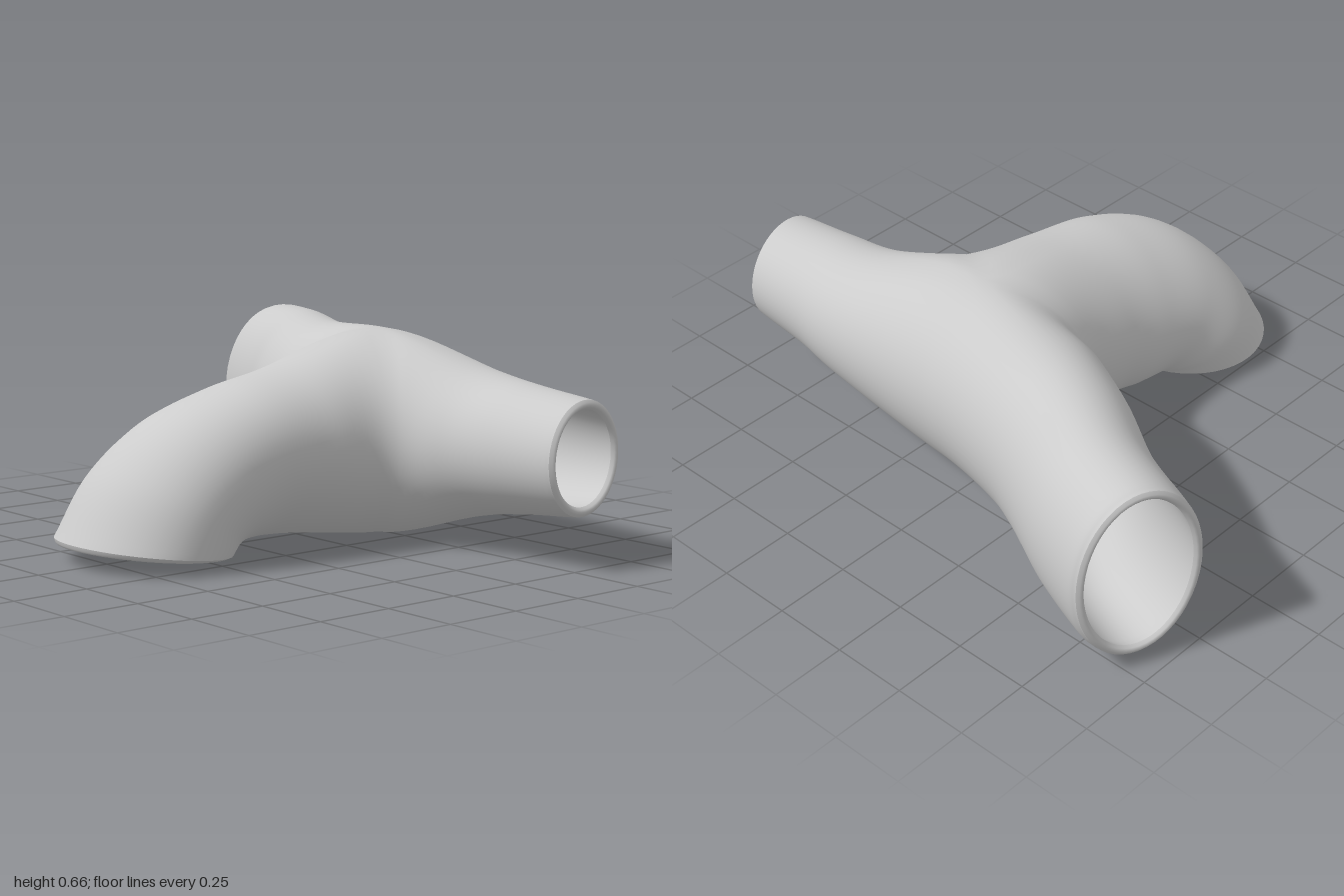
import * as THREE from 'three';

const v = (x, y, z) => new THREE.Vector3(x, y, z);
const SIDES = 48, STEPS = 8, WALL = 0.03;

// The three legs meet along three arcs that share a top and a bottom pole
const hub = v(0.09, 0.335, -0.26);
const pole = v(0, 0.331, -0.01);
const seam = {
  back: v(0.02, 0.33, -0.58),
  frontLeft: v(0.435, 0.33, -0.035),
  frontRight: v(-0.21, 0.33, -0.085),
};
const dir = { left: v(1, 0, -0.12), right: v(-0.95, 0, -0.3), front: v(0, 0, 1) };

// Oval ring: centre, half axis to the side, half axis upwards
const armRing = (x, y, z, ux, uz, h) => ({ c: v(x, y, z), u: v(ux, 0, uz), w: v(0, h, 0) });
// Ring of the bent branch: x centre, half width, sideways lean, top and bottom points in (z, y)
const bendRing = (x, width, lean, tz, ty, bz, by) => ({
  c: v(x, (ty + by) / 2, (tz + bz) / 2),
  u: v(width, 0, 0),
  w: v(lean, (ty - by) / 2, (tz - bz) / 2),
});

const legs = [
  {
    name: 'narrowArm', d: dir.left,
    sides: [[seam.back, dir.right], [seam.frontLeft, dir.front]],
    rings: [
      armRing(0.54, 0.335, -0.321, -0.02, -0.225, 0.232),
      armRing(0.74, 0.338, -0.32, -0.02, -0.198, 0.201),
      armRing(0.92, 0.338, -0.32, -0.025, -0.183, 0.183),
      armRing(0.965, 0.338, -0.32, -0.025, -0.178, 0.178),
    ],
  },
  {
    name: 'wideArm', d: dir.right,
    sides: [[seam.frontRight, dir.front], [seam.back, dir.left]],
    rings: [
      armRing(-0.275, 0.338, -0.384, -0.055, 0.241, 0.31),
      armRing(-0.455, 0.338, -0.468, -0.075, 0.219, 0.309),
      armRing(-0.675, 0.338, -0.597, -0.075, 0.203, 0.309),
      armRing(-0.87, 0.338, -0.677, -0.07, 0.202, 0.306),
      armRing(-0.925, 0.338, -0.693, -0.07, 0.195, 0.298),
    ],
  },
  {
    name: 'bentBranch', d: dir.front,
    sides: [[seam.frontLeft, dir.left], [seam.frontRight, dir.right]],
    rings: [
      bendRing(0.105, 0.285, 0.03, 0.17, 0.58, 0.1, 0.035),
      bendRing(0.087, 0.278, 0.05, 0.4, 0.533, 0.22, 0.037),
      bendRing(0.07, 0.285, 0.03, 0.61, 0.445, 0.31, 0.037),
      bendRing(0.045, 0.298, 0.01, 0.775, 0.285, 0.36, 0.033),
      bendRing(0.03, 0.303, -0.01, 0.885, 0.08, 0.385, 0.022),
    ],
  },
];

// Hermite curve through points with a given starting direction
function flow(pts, start) {
  const n = pts.length - 1;
  const tangent = (i) => {
    if (i === 0) return start.clone().normalize().multiplyScalar(pts[1].distanceTo(pts[0]));
    return pts[Math.min(i + 1, n)].clone().sub(pts[i - 1]).multiplyScalar(i === n ? 1 : 0.5);
  };
  const out = [];
  for (let i = 0; i < n; i++) {
    const m0 = tangent(i), m1 = tangent(i + 1);
    for (let s = i ? 1 : 0; s <= STEPS; s++) {
      const t = s / STEPS, t2 = t * t, t3 = t2 * t;
      out.push(v(0, 0, 0)
        .addScaledVector(pts[i], 2 * t3 - 3 * t2 + 1)
        .addScaledVector(m0, t3 - 2 * t2 + t)
        .addScaledVector(pts[i + 1], 3 * t2 - 2 * t3)
        .addScaledVector(m1, t3 - t2));
    }
  }
  return out;
}

// Lengthwise line of a leg at an angle measured from its top
function legLine(leg, angle) {
  const cos = Math.cos(angle), sin = Math.sin(angle), s = Math.abs(sin);
  const [mid, other] = leg.sides[sin >= 0 ? 0 : 1];
  const root = hub.clone().addScaledVector(pole, cos).addScaledVector(mid.clone().sub(hub), s);
  const start = leg.d.clone().addScaledVector(other, -s);
  const pts = leg.rings.map((r) => r.c.clone().addScaledVector(r.w, cos).addScaledVector(r.u, sin));
  return flow([root, ...pts], start);
}

function makeGeometry(points, index) {
  const g = new THREE.BufferGeometry().setFromPoints(points);
  g.setIndex(index);
  g.computeVertexNormals();
  return g;
}

export function createModel() {
  const group = new THREE.Group();
  group.name = 'pipeJunction';
  const material = new THREE.MeshStandardMaterial({ color: 0xcccccc, side: THREE.DoubleSide });
  const add = (name, geometry) => {
    const mesh = new THREE.Mesh(geometry, material);
    mesh.name = name;
    group.add(mesh);
  };

  // Outer wall, welded where the legs meet
  const points = [], index = [], known = new Map(), ends = [];
  const weld = (p) => {
    const key = p.toArray().map((n) => Math.round(n * 1e5)).join();
    if (!known.has(key)) known.set(key, points.push(p) - 1);
    return known.get(key);
  };
  for (const leg of legs) {
    const lines = [];
    for (let i = 0; i < SIDES; i++) lines.push(legLine(leg, (i / SIDES) * Math.PI * 2).map(weld));
    for (let i = 0; i < SIDES; i++) {
      const a = lines[i], b = lines[(i + 1) % SIDES];
      for (let j = 0; j < a.length - 1; j++) {
        index.push(a[j], a[j + 1], b[j], b[j], a[j + 1], b[j + 1]);
      }
    }
    ends.push(lines.map((l) => l.slice(-2)));
  }
  const outer = makeGeometry(points, index);
  add('outerWall', outer);

  // Inner wall, offset along the normals and facing inwards
  const normals = points.map((p, i) => new THREE.Vector3().fromBufferAttribute(outer.attributes.normal, i));
  const innerPoints = points.map((p, i) => p.clone().addScaledVector(normals[i], -WALL));
  const innerIndex = [];
  for (let i = 0; i < index.length; i += 3) innerIndex.push(index[i], index[i + 2], index[i + 1]);
  add('innerWall', makeGeometry(innerPoints, innerIndex));

  // Rounded lips closing the wall at each open end
  ends.forEach((end, k) => {
    const rim = [], faces = [], ROWS = 5;
    for (const [before, last] of end) {
      const ahead = points[last].clone().sub(points[before]).normalize();
      for (let r = 0; r < ROWS; r++) {
        const t = r / (ROWS - 1);
        rim.push(points[last].clone().lerp(innerPoints[last], t)
          .addScaledVector(ahead, 0.012 * Math.sin(Math.PI * t)));
      }
    }
    for (let i = 0; i < SIDES; i++) {
      for (let r = 0; r < ROWS - 1; r++) {
        const a = i * ROWS + r, b = ((i + 1) % SIDES) * ROWS + r;
        faces.push(a, a + 1, b, b, a + 1, b + 1);
      }
    }
    add(legs[k].name + 'Rim', makeGeometry(rim, faces));
  });
  return group;
}
